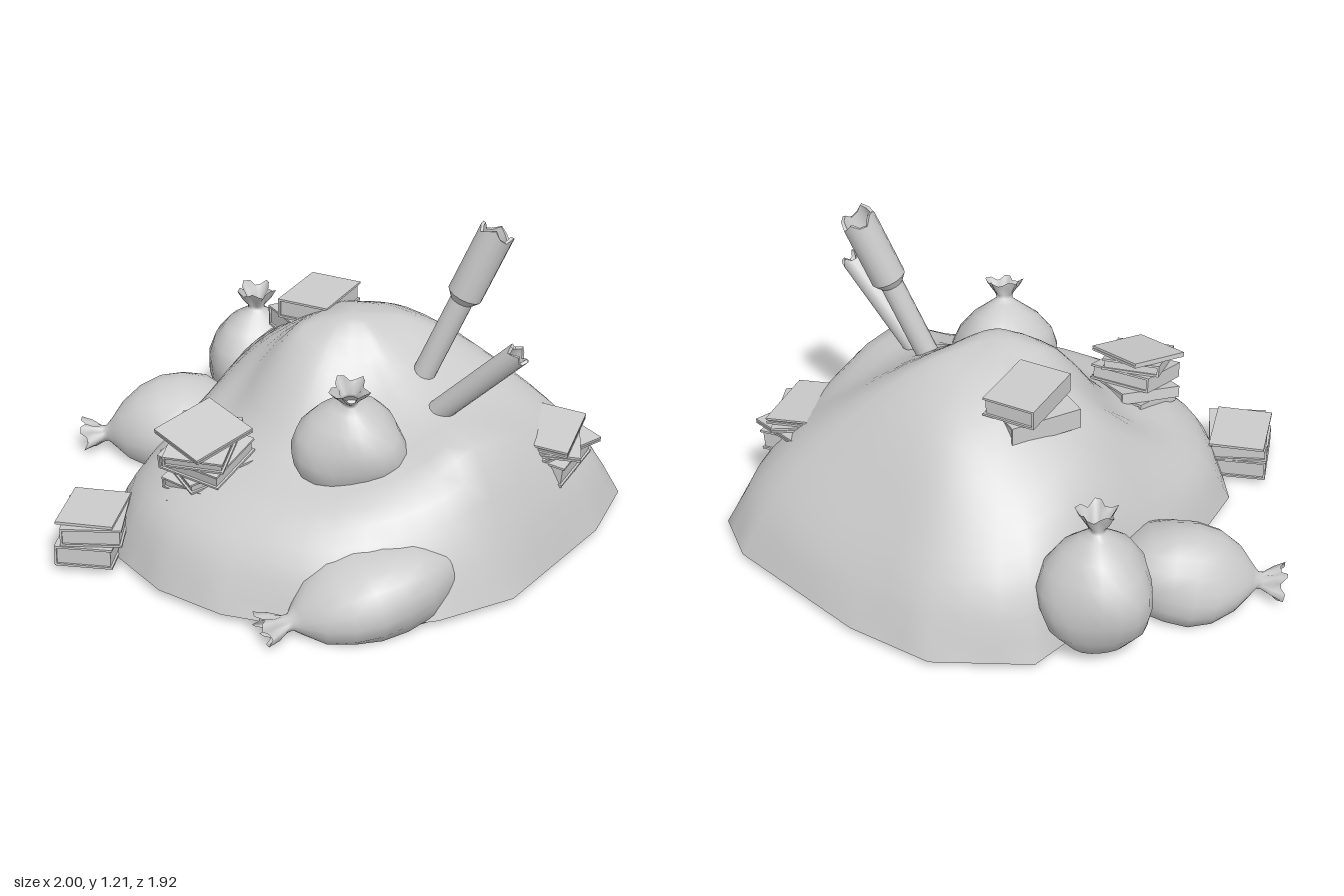
import * as THREE from 'three';
import { mergeVertices, toCreasedNormals } from 'three/addons/utils/BufferGeometryUtils.js';

const V = (x, y, z) => new THREE.Vector3(x, y, z);
const grey = new THREE.MeshStandardMaterial({ color: 0xcccccc });
const greyBoth = new THREE.MeshStandardMaterial({ color: 0xcccccc, side: THREE.DoubleSide });

function mesh(name, geometry, material = grey) {
  const m = new THREE.Mesh(geometry, material);
  m.name = name;
  return m;
}

// Weld seams so that shading runs smoothly round the part
function smooth(geometry) {
  geometry.deleteAttribute('uv');
  geometry.deleteAttribute('normal');
  const g = mergeVertices(geometry, 1e-4);
  g.computeVertexNormals();
  return g;
}

// Heap: each spoke is a corner of the base (x, z), then heights from the top outwards
function createHeap() {
  const centre = V(0.1, 0.8, -0.12);
  const reach = [0.1, 0.25, 0.5, 0.75, 0.9, 1];
  const spokes = [
    [0.99, 0.0, 0.67, 0.56, 0.52, 0.27],
    [0.90, 0.29, 0.63, 0.50, 0.42, 0.24],
    [0.70, 0.60, 0.62, 0.44, 0.36, 0.22],
    [0.34, 0.78, 0.66, 0.43, 0.34, 0.21],
    [0.07, 0.82, 0.68, 0.42, 0.33, 0.22],
    [-0.20, 0.77, 0.70, 0.42, 0.32, 0.21],
    [-0.45, 0.57, 0.73, 0.45, 0.31, 0.19],
    [-0.58, 0.17, 0.74, 0.60, 0.39, 0.22],
    [-0.60, -0.20, 0.74, 0.64, 0.51, 0.33],
    [-0.62, -0.64, 0.74, 0.61, 0.43, 0.26],
    [-0.35, -0.89, 0.74, 0.63, 0.41, 0.23],
    [-0.02, -0.96, 0.75, 0.64, 0.38, 0.19],
    [0.58, -0.96, 0.75, 0.60, 0.38, 0.20],
    [0.78, -0.87, 0.73, 0.58, 0.38, 0.20],
    [0.90, -0.58, 0.71, 0.57, 0.42, 0.25],
  ];
  const rings = reach.map((t, k) => spokes.map(([x, z, ...h]) => V(
    centre.x + (x - centre.x) * t,
    [0.785, ...h, 0.025][k],
    centre.z + (z - centre.z) * t)));
  const base = rings.pop();
  const curves = rings.map(r => new THREE.CatmullRomCurve3(r, true));

  const S = spokes.length, D = 3, N = S * D, M = 18, pos = centre.toArray(), index = [];
  for (let i = 0; i < N; i++) {
    const s = Math.floor(i / D);
    const foot = base[s].clone().lerp(base[(s + 1) % S], (i % D) / D);
    const path = new THREE.CatmullRomCurve3([centre, ...curves.map(c => c.getPoint(i / N)), foot]);
    for (let j = 1; j <= M; j++) pos.push(...path.getPoint(j / M).toArray());
    const a = 1 + i * M, b = 1 + ((i + 1) % N) * M;
    index.push(0, b, a);
    for (let j = 0; j < M - 1; j++) index.push(a + j, b + j, a + j + 1, b + j, b + j + 1, a + j + 1);
  }
  const g = new THREE.BufferGeometry();
  g.setAttribute('position', new THREE.Float32BufferAttribute(pos, 3));
  g.setIndex(index);
  g.computeVertexNormals();

  // Flat underside
  const under = new THREE.ShapeGeometry(new THREE.Shape(base.map(p => new THREE.Vector2(p.x, p.z))));
  under.rotateX(Math.PI / 2).translate(0, 0.025, 0);
  const heap = new THREE.Group();
  heap.name = 'heap';
  heap.add(mesh('heapSurface', g), mesh('heapUnderside', under));
  return heap;
}

// Tied sack from its base to its neck, slumped flat where it meets the ground
function createSack(name, base, neck, width, thick, shoulder, phase) {
  const profile = [[0, 0], [0.5, 0.02], [0.85, 0.12], [0.98, 0.26], [1, 0.42], [0.88, 0.6],
    [0.62, 0.78], [0.3, 0.91], [0.16, 0.97], [0.16, 1.01], [0.25, 1.08], [0.33, 1.14]];
  const pts = profile.map(([r, y]) => new THREE.Vector2(r, y < 1 ? y ** shoulder : y));
  const g = new THREE.LatheGeometry(pts, 20);
  const p = g.attributes.position, v = V(0, 0, 0);
  const axis = neck.clone().sub(base), length = axis.length();
  const dir = axis.normalize();
  const side = V(0, 1, 0).cross(dir).normalize();
  const frame = new THREE.Matrix4().makeBasis(side, dir, side.clone().cross(dir)).setPosition(base);
  for (let i = 0; i < p.count; i++) {
    v.fromBufferAttribute(p, i);
    const a = Math.atan2(v.x, v.z);
    const tuft = v.y > 1.03, tied = v.y > 0.96;
    // Soft lumps on the body, ruffles on the tuft
    const k = tuft ? 1 + 0.22 * Math.cos(5 * a) : 1 + 0.06 * Math.sin(3 * a + phase + 4 * v.y);
    const mean = (width + thick) / 2;
    if (v.y > 1.12) v.y += 0.025 * Math.cos(5 * a + 1);
    v.set(v.x * k * (tied ? mean : width), v.y * length, v.z * k * (tied ? mean : thick)).applyMatrix4(frame);
    p.setXYZ(i, v.x, Math.max(v.y, tuft ? 0.02 : 0), v.z);
  }
  return mesh(name, smooth(g), greyBoth);
}

// Book: two covers, a spine and an inset page block
function createBook(w, h, d) {
  const book = new THREE.Group(), c = 0.008;
  book.name = 'book';
  const part = (name, sx, sy, sz, x, y) => {
    const m = mesh(name, new THREE.BoxGeometry(sx, sy, sz));
    m.position.set(x, y, 0);
    book.add(m);
  };
  part('lowerCover', w, c, d, 0, c / 2);
  part('upperCover', w, c, d, 0, h - c / 2);
  part('spine', c, h - 2 * c, d, -w / 2 + c / 2, h / 2);
  part('pages', w - 2 * c, h - 2 * c, d - 2 * c, 0, h / 2);
  return book;
}

// Stack of books: each entry is width, height, depth, turn
function createStack(name, position, tilt, books) {
  const stack = new THREE.Group();
  stack.name = name;
  stack.position.set(...position);
  stack.rotation.set(tilt[0], 0, tilt[1]);
  let y = 0;
  books.forEach(([w, h, d, turn], i) => {
    const book = createBook(w, h - 0.002, d);
    book.position.set(0.012 * Math.sin(i * 2.3), y, 0.012 * Math.cos(i * 1.7));
    book.rotation.y = turn;
    stack.add(book);
    y += h;
  });
  return stack;
}

// Pipe with a hollow, broken end; profile is radius, height
function createPipe(name, from, to, profile, jag) {
  const length = from.distanceTo(to);
  const g = new THREE.LatheGeometry(profile.map(([r, y]) => new THREE.Vector2(r, y * length)), 14);
  const p = g.attributes.position;
  for (let i = 0; i < p.count; i++) {
    if (p.getY(i) < length * 0.99) continue;
    const a = Math.atan2(p.getX(i), p.getZ(i));
    p.setY(i, p.getY(i) + jag * (Math.sin(4 * a) + 0.6 * Math.sin(a + 1) - 0.6));
  }
  const m = mesh(name, toCreasedNormals(g, 0.6), greyBoth);
  m.position.copy(from);
  m.quaternion.setFromUnitVectors(V(0, 1, 0), to.clone().sub(from).normalize());
  return m;
}

export function createModel() {
  const model = new THREE.Group();
  model.name = 'rubbishHeap';
  model.add(createHeap());

  // Sacks
  model.add(
    createSack('uprightSack', V(-0.695, 0.02, -0.41), V(-0.665, 0.5, -0.385), 0.2, 0.195, 0.7, 1),
    createSack('leftSack', V(-0.53, 0.16, -0.15), V(-0.9, 0.07, 0.22), 0.215, 0.175, 0.75, 2),
    createSack('rightSack', V(0.82, 0.15, 0.11), V(0.57, 0.05, 0.69), 0.2, 0.18, 0.65, 0),
    createSack('topSack', V(0.36, 0.32, 0.165), V(0.435, 0.685, 0.245), 0.2, 0.18, 0.82, 3),
  );

  // Stacks of books
  model.add(
    createStack('topBooks', [-0.17, 0.615, -0.22], [0, 0],
      [[0.23, 0.08, 0.27, -0.3], [0.2, 0.075, 0.28, 0.3]]),
    createStack('frontBooks', [-0.03, 0.26, 0.475], [0.2, -0.12],
      [[0.22, 0.045, 0.26, 0.5], [0.24, 0.05, 0.25, 0.15], [0.23, 0.045, 0.25, -0.3],
        [0.25, 0.06, 0.24, 0.2], [0.22, 0.045, 0.26, 0.5], [0.24, 0.02, 0.25, -0.1]]),
    createStack('sideBooks', [0.695, 0.22, -0.51], [0, -0.12],
      [[0.22, 0.055, 0.29, 0.4], [0.23, 0.08, 0.29, 0.3], [0.25, 0.02, 0.3, -0.1],
        [0.22, 0.02, 0.31, 0.7], [0.21, 0.025, 0.3, 0.45]]),
    createStack('groundBooks', [-0.31, 0.025, 0.785], [0, 0],
      [[0.21, 0.08, 0.26, 0.62], [0.22, 0.07, 0.25, 0.72], [0.21, 0.012, 0.26, 0.58]]),
  );

  // Broken pipes
  model.add(
    createPipe('collaredPipe', V(0.37, 0.56, -0.165), V(0.59, 1.19, -0.33),
      [[0.042, 0], [0.042, 0.57], [0.064, 0.61], [0.064, 1], [0.052, 1], [0.052, 0.75], [0, 0.75]], 0.016),
    createPipe('plainPipe', V(0.48, 0.5, -0.1), V(0.84, 0.86, -0.165),
      [[0.042, 0], [0.042, 1], [0.03, 1], [0.03, 0.8], [0, 0.8]], 0.014),
  );
  return model;
}
